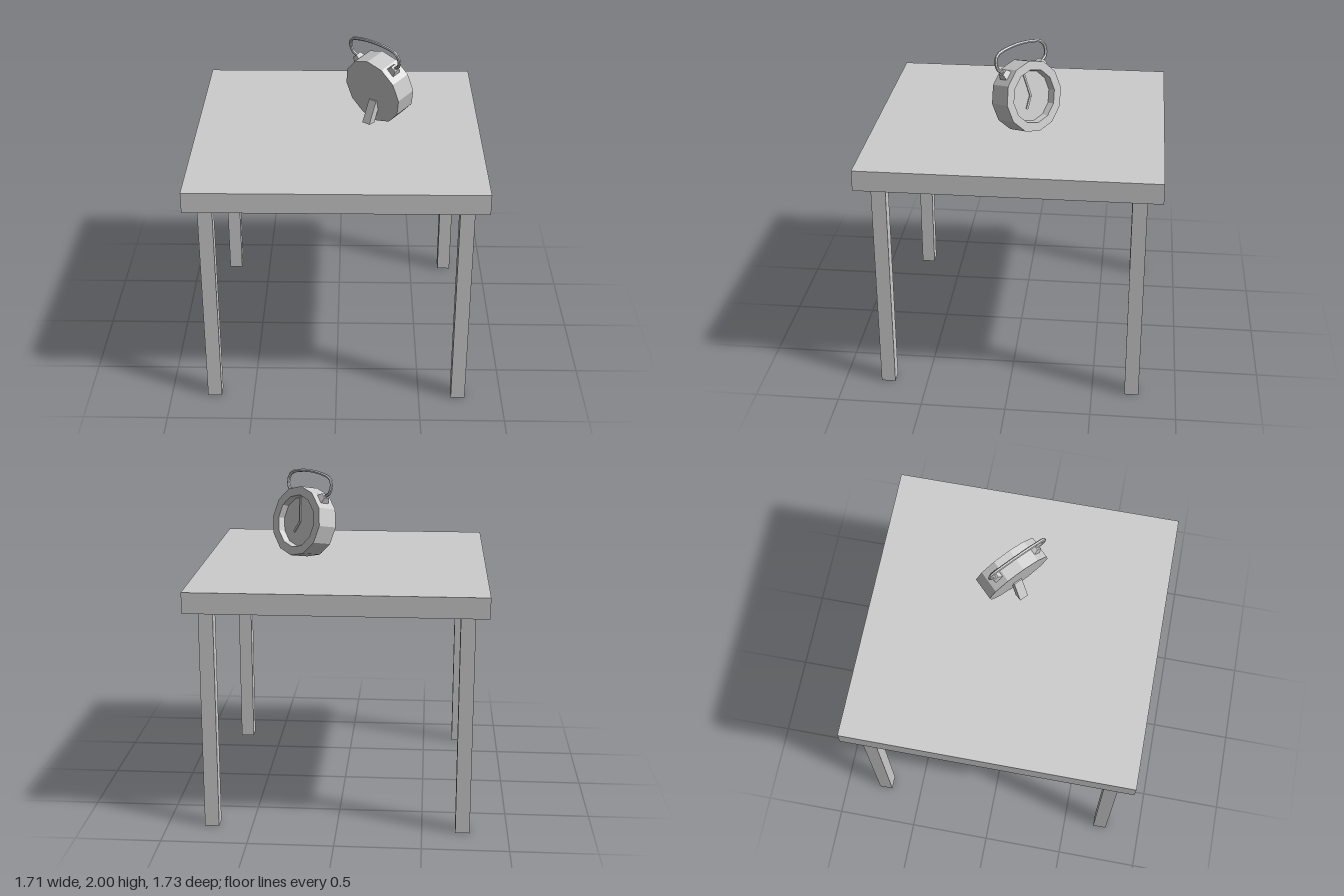
import * as THREE from 'three';

const grey = new THREE.MeshStandardMaterial({ color: 0xcccccc, flatShading: true });

function add(parent, name, geometry, x = 0, y = 0, z = 0) {
  const mesh = new THREE.Mesh(geometry, grey);
  mesh.name = name;
  mesh.position.set(x, y, z);
  parent.add(mesh);
  return mesh;
}

function createTable() {
  const table = new THREE.Group();
  table.name = 'table';
  add(table, 'tableTop', new THREE.BoxGeometry(1.71, 0.122, 1.734), 0, 1.386, 0);
  for (const sx of [-1, 1])
    for (const sz of [-1, 1])
      add(table, 'tableLeg', new THREE.BoxGeometry(0.084, 1.325, 0.084), sx * 0.738, 0.6625, sz * 0.738);
  return table;
}

// Clock is built around its centre, with the dial facing +z
function createClock() {
  const clock = new THREE.Group();
  clock.name = 'clock';
  const half = 0.068, dialZ = half - 0.04;

  // Twelve-sided case with a recessed dial
  const profile = [[0, -half], [0.21, -half], [0.21, half], [0.158, half], [0.15, dialZ], [0, dialZ]]
    .map(([r, h]) => new THREE.Vector2(r, h));
  add(clock, 'clockCase', new THREE.LatheGeometry(profile, 12).rotateX(Math.PI / 2));

  // Hands: a bar from the dial centre to a given tip
  const hand = (name, tx, ty, width, z) => {
    const length = Math.hypot(tx, ty);
    const bar = new THREE.BoxGeometry(width, length, 0.006).translate(0, length / 2, 0);
    add(clock, name, bar, 0, 0, z).rotation.z = Math.atan2(-tx, ty);
  };
  hand('minuteHand', -0.03, 0.142, 0.012, dialZ + 0.007);
  hand('hourHand', -0.04, -0.07, 0.014, dialZ + 0.004);

  // Tapered mounts holding the handle ends
  for (const s of [-1, 1]) {
    const mount = new THREE.CylinderGeometry(0.026, 0.048, 0.045, 4).rotateY(Math.PI / 4);
    add(clock, 'handleMount', mount, s * 0.139, 0.16, 0).rotation.z = -s * 0.71;
  }

  // Bent wire handle
  const side = [[0.135, 0.165], [0.178, 0.19], [0.19, 0.215], [0.188, 0.258], [0.165, 0.285], [0.08, 0.304]];
  const path = [
    ...side.map(([x, y]) => new THREE.Vector3(-x, y, 0)),
    new THREE.Vector3(0, 0.309, 0),
    ...side.map(([x, y]) => new THREE.Vector3(x, y, 0)).reverse(),
  ];
  add(clock, 'handle', new THREE.TubeGeometry(new THREE.CatmullRomCurve3(path), 24, 0.01, 6));

  // Sloping prop behind the case, drawn in side section (z, y)
  const section = new THREE.Shape([
    [-0.06, -0.06], [-0.075, -0.06], [-0.16, -0.178], [-0.115, -0.187], [-0.06, -0.11],
  ].map(([z, y]) => new THREE.Vector2(-z, y)));
  const prop = new THREE.ExtrudeGeometry(section, { depth: 0.056, bevelEnabled: false });
  add(clock, 'backProp', prop.translate(0, 0, -0.028).rotateY(Math.PI / 2));

  // Turned towards the back left corner and leaning back
  clock.rotation.set(-0.21, 2.4, 0, 'YXZ');
  clock.position.set(0.248, 1.69, -0.055);
  return clock;
}

export function createModel() {
  const model = new THREE.Group();
  model.name = 'tableWithClock';
  model.add(createTable(), createClock());
  return model;
}
